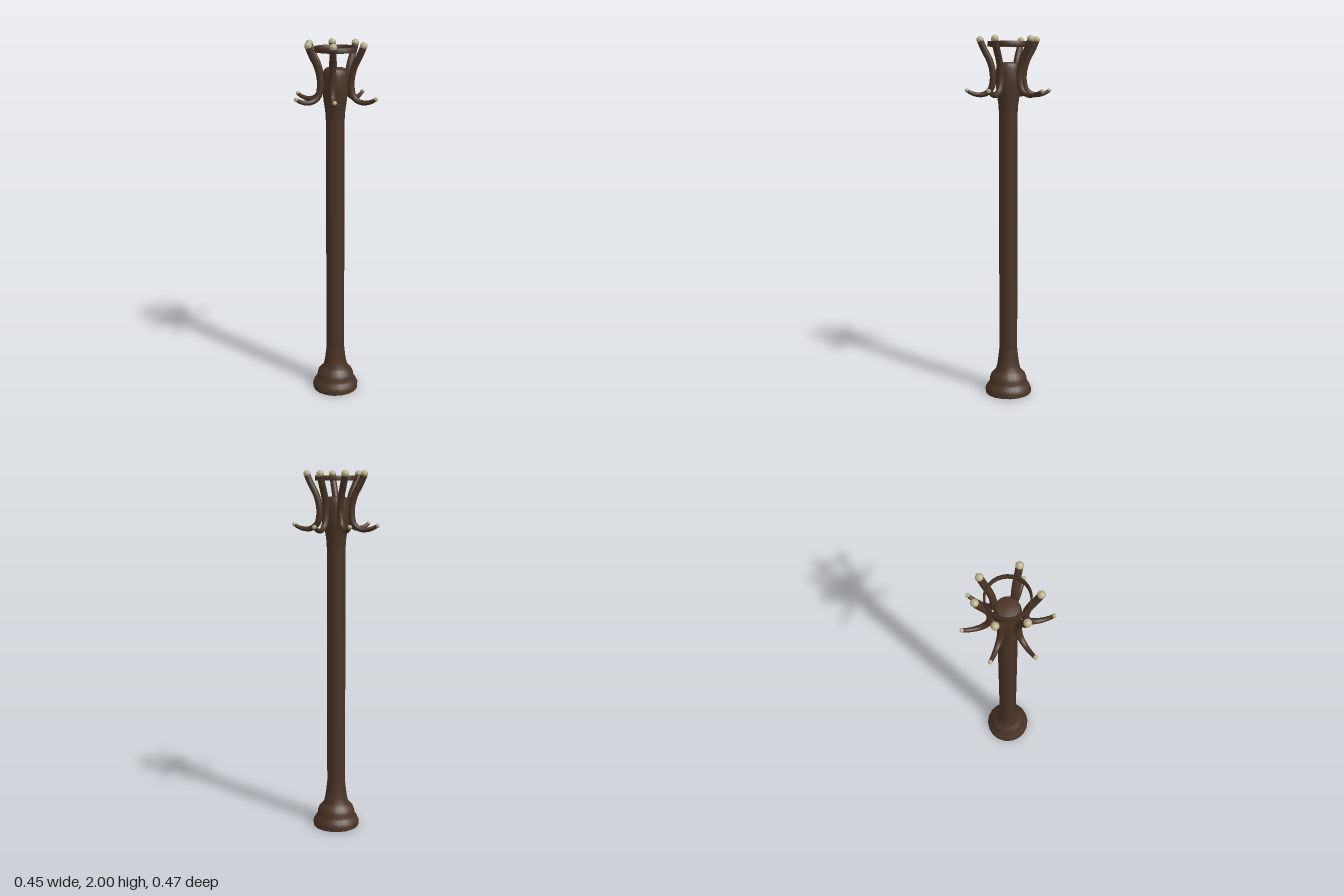
import * as THREE from 'three';

const wood = new THREE.MeshStandardMaterial({ color: 0x4a3426, side: THREE.DoubleSide });
const ivory = new THREE.MeshStandardMaterial({ color: 0xb8ae88 });

function part(name, geometry, material, parent) {
  const mesh = new THREE.Mesh(geometry, material);
  mesh.name = name;
  parent.add(mesh);
  return mesh;
}

const lathe = (points, sides) =>
  new THREE.LatheGeometry(points.map(([r, y]) => new THREE.Vector2(r, y)), sides);

// Round tube whose radius follows radiusAt(t) along the curve
function taperedTube(curve, steps, sides, radiusAt) {
  const geometry = new THREE.TubeGeometry(curve, steps, 1, sides);
  const pos = geometry.attributes.position;
  const v = new THREE.Vector3();
  for (let i = 0; i <= steps; i++) {
    const centre = curve.getPointAt(i / steps);
    for (let j = 0; j <= sides; j++) {
      const k = i * (sides + 1) + j;
      v.fromBufferAttribute(pos, k).sub(centre).multiplyScalar(radiusAt(i / steps)).add(centre);
      pos.setXYZ(k, v.x, v.y, v.z);
    }
  }
  geometry.computeVertexNormals();
  return geometry;
}

// S-shaped arm, from the upper knob down to the small coat hook, pointing along +x
const armCurve = new THREE.CatmullRomCurve3([
  [0.152, 1.975], [0.132, 1.93], [0.103, 1.875], [0.087, 1.82], [0.084, 1.765],
  [0.098, 1.715], [0.135, 1.69], [0.18, 1.69], [0.212, 1.702], [0.225, 1.711],
].map(([x, y]) => new THREE.Vector3(x, y, 0)));
const armGeometry = taperedTube(armCurve, 28, 12,
  t => t < 0.6 ? 0.018 : THREE.MathUtils.lerp(0.018, 0.0095, (t - 0.6) / 0.4));
const upperKnobGeometry = new THREE.SphereGeometry(0.02, 14, 10);
const lowerKnobGeometry = new THREE.SphereGeometry(0.0115, 12, 8);

// Upper knob (x, z) and hook tip (x, z) of each arm, unevenly spread by hand
const arms = [
  [-0.033, -0.152, -0.05, -0.225], [0.093, -0.128, 0.13, -0.19],
  [0.145, 0.055, 0.215, 0.082], [-0.003, 0.147, 0.01, 0.222],
  [-0.137, 0.08, -0.2, 0.12], [-0.147, -0.064, -0.215, -0.092],
];

export function createModel() {
  const group = new THREE.Group();
  group.name = 'coatStand';

  const stand = new THREE.Group();
  stand.name = 'stand';
  stand.position.set(-0.005, 0, -0.004);
  group.add(stand);

  // Moulded foot, open underneath
  part('base', lathe([
    [0.13, 0], [0.131, 0.022], [0.124, 0.04], [0.113, 0.054], [0.107, 0.066],
    [0.105, 0.085], [0.098, 0.105], [0.082, 0.122], [0.07, 0.137],
    [0.062, 0.17], [0.057, 0.205], [0.051, 0.26],
  ], 18), wood, stand);

  // Straight post swelling into the head
  part('post', lathe([[0.051, 0.26], [0.051, 1.59]], 18), wood, stand);
  part('head', lathe([
    [0.051, 1.59], [0.054, 1.635], [0.061, 1.68], [0.067, 1.73], [0.069, 1.78],
    [0.066, 1.825], [0.06, 1.85], [0.05, 1.86], [0, 1.863],
  ], 18), wood, stand);

  // Flat band joining the upper arms
  const band = part('ring', lathe([
    [0.102, 1.945], [0.112, 1.945], [0.112, 1.971], [0.102, 1.971], [0.102, 1.945],
  ], 28), wood, group);
  band.position.set(-0.003, 0, -0.003);

  // Six arms, each with an upper knob and a hook tip
  arms.forEach(([kx, kz, tx, tz], i) => {
    const angle = Math.atan2(tz - kz, tx - kx);
    const arm = new THREE.Group();
    arm.name = `arm${i + 1}`;
    arm.position.set(kx - 0.152 * Math.cos(angle), 0, kz - 0.152 * Math.sin(angle));
    arm.rotation.y = -angle;
    part('armBranch', armGeometry, wood, arm);
    part('upperKnob', upperKnobGeometry, ivory, arm).position.set(0.153, 1.98, 0);
    part('hookKnob', lowerKnobGeometry, ivory, arm).position.set(0.226, 1.711, 0);
    group.add(arm);
  });

  return group;
}
